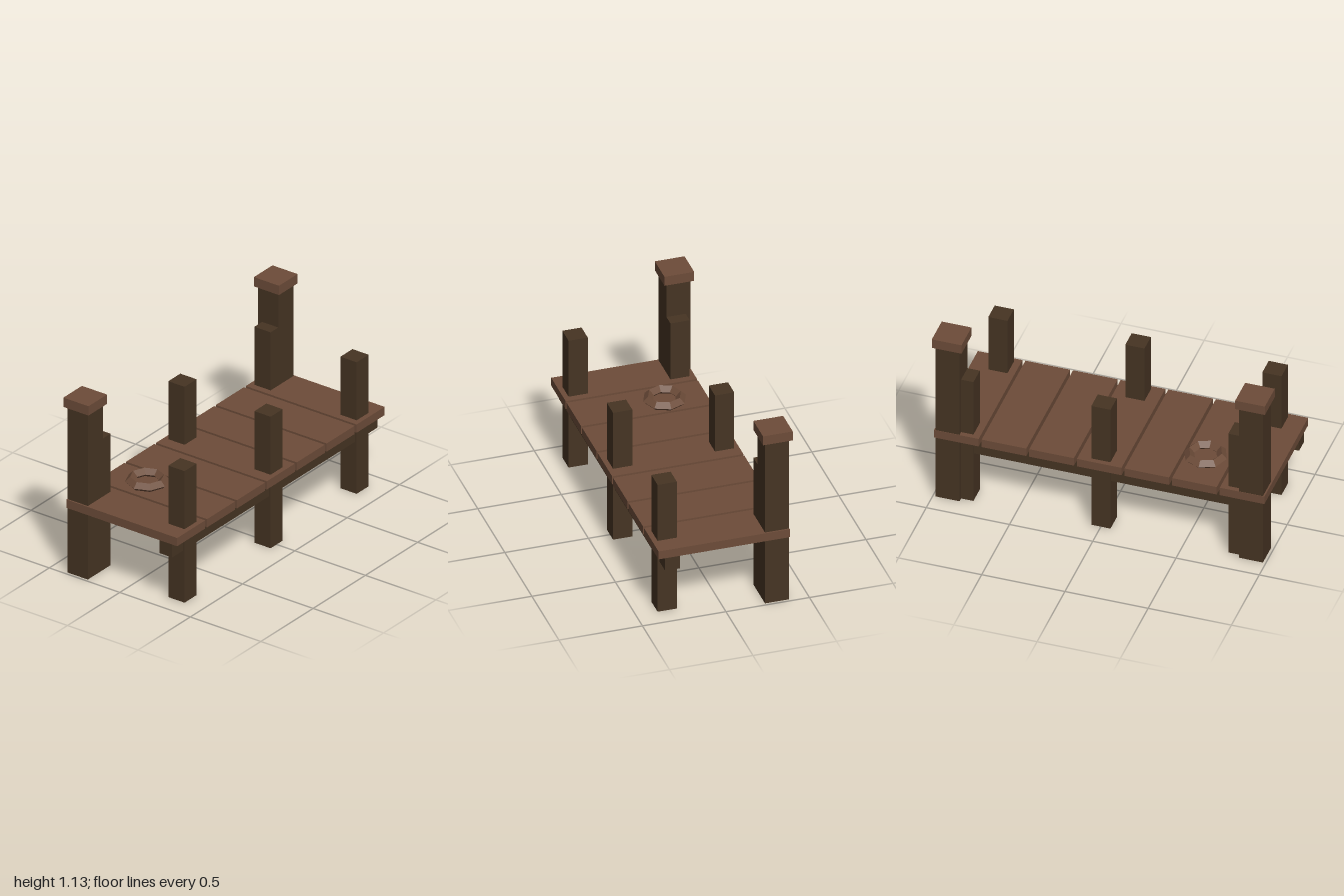
import * as THREE from 'three';

export function createModel() {
  const dock = new THREE.Group();
  dock.name = 'dock';

  const plankWood = new THREE.MeshStandardMaterial({ color: 0x6d4c39 });
  plankWood.name = 'plank brown';
  const postWood = new THREE.MeshStandardMaterial({ color: 0x463423 });
  postWood.name = 'dark post brown';

  // Box whose y is its underside
  function box(name, material, [w, h, d], [x, y, z]) {
    const mesh = new THREE.Mesh(new THREE.BoxGeometry(w, h, d), material);
    mesh.name = name;
    mesh.position.set(x, y + h / 2, z);
    dock.add(mesh);
  }

  const deckZ = 0.008;
  const rowOffset = 0.305;

  // Deck planks
  for (let i = -3; i <= 3; i++) {
    box('plank', plankWood, [0.268, 0.053, 0.786], [i * 0.286, 0.421, deckZ]);
  }

  // Support beams with three short posts along each
  for (const side of [-1, 1]) {
    const z = deckZ + side * rowOffset;
    box('beam', postWood, [1.964, 0.09, 0.09], [0, 0.331, z]);
    for (const x of [-0.823, 0, 0.823]) {
      box('shortPost', postWood, [0.115, 0.848, 0.115], [x, 0, z]);
    }
  }

  // Tall capped posts at the back corners
  for (const side of [-1, 1]) {
    box('tallPost', postWood, [0.143, 1.07, 0.143], [side * 0.911, 0, -0.311]);
    box('postCap', plankWood, [0.178, 0.06, 0.178], [side * 0.911, 1.07, -0.311]);
  }

  // Rope coil resting on the deck
  const coilBrown = plankWood.clone();
  coilBrown.name = 'coil brown';
  coilBrown.flatShading = true;
  const coil = new THREE.Mesh(new THREE.TorusGeometry(0.098, 0.03, 4, 8), coilBrown);
  coil.name = 'ropeCoil';
  coil.rotation.x = -Math.PI / 2;
  coil.position.set(-0.556, 0.491, -0.136);
  dock.add(coil);

  return dock;
}
